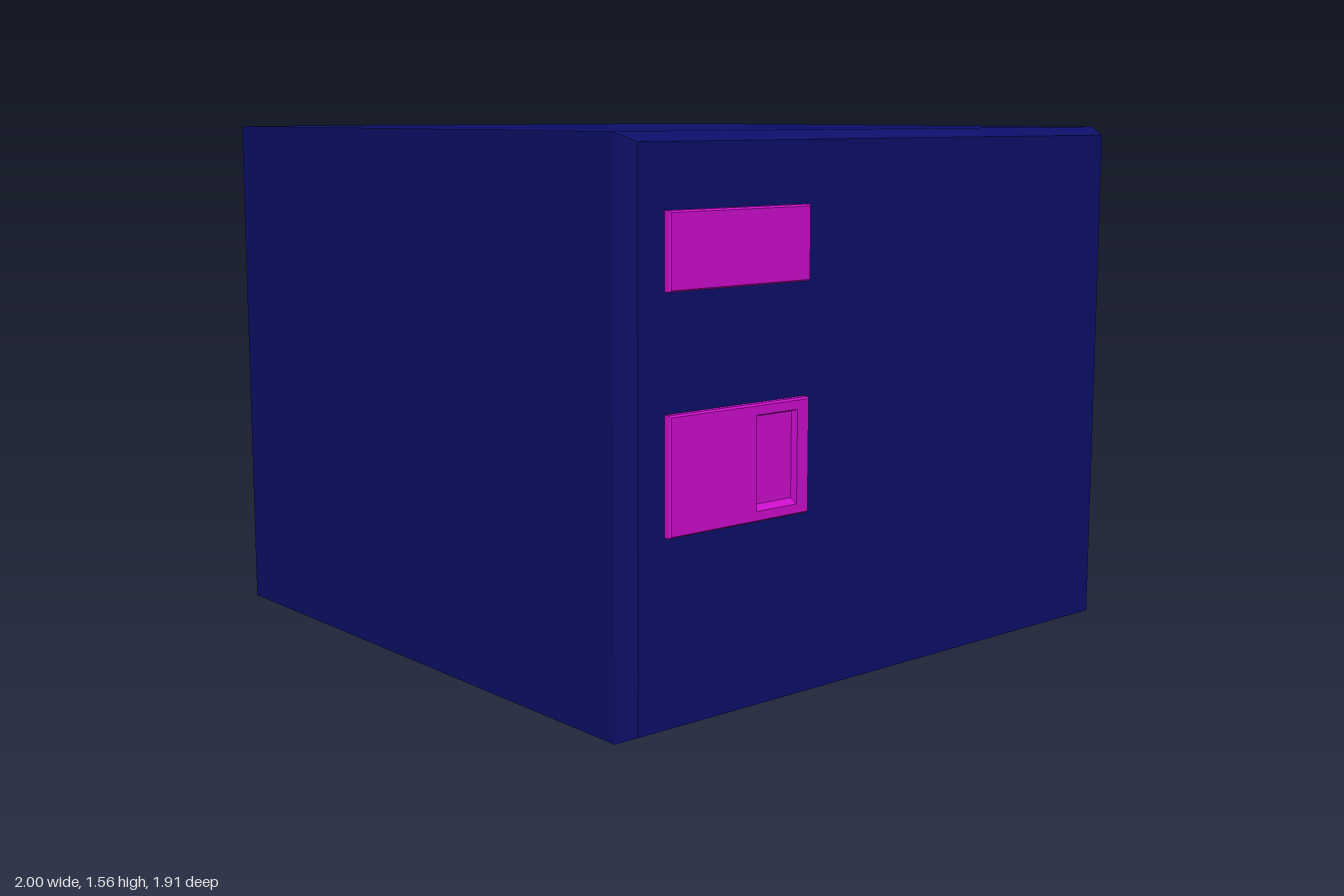
import * as THREE from 'three';

const navy = new THREE.MeshStandardMaterial({ color: 0x0b0f68 });
const magenta = new THREE.MeshStandardMaterial({ color: 0xcc0ccc });

// Skins a closed solid over rectangular rings [x, y0, y1, z0, z1] and caps both ends.
function loft(name, material, rings) {
  const corners = rings.map(([x, y0, y1, z0, z1]) =>
    [[x, y0, z1], [x, y0, z0], [x, y1, z0], [x, y1, z1]]);
  const points = [];
  const quad = (a, b, c, d) => points.push(...a, ...b, ...c, ...a, ...c, ...d);
  for (let r = 0; r < corners.length - 1; r++) {
    const a = corners[r], b = corners[r + 1];
    for (let i = 0; i < 4; i++) {
      const j = (i + 1) % 4;
      quad(a[i], a[j], b[j], b[i]);
    }
  }
  quad(...[...corners[0]].reverse());
  quad(...corners[corners.length - 1]);
  const geometry = new THREE.BufferGeometry();
  geometry.setAttribute('position', new THREE.Float32BufferAttribute(points, 3));
  geometry.computeVertexNormals();
  const mesh = new THREE.Mesh(geometry, material);
  mesh.name = name;
  return mesh;
}

export function createModel() {
  const model = new THREE.Group();
  model.name = 'cabinet';

  // Case with one chamfered face
  model.add(loft('case', navy, [
    [-1, 0, 1.56, -0.957, 0.957],
    [0.917, 0, 1.56, -0.957, 0.957],
    [0.977, 0.027, 1.535, -0.928, 0.928],
  ]));

  // Plain upper panel
  model.add(loft('upperPanel', magenta, [
    [0.97, 1.162, 1.366, 0.35, 0.84],
    [0.993, 1.162, 1.366, 0.35, 0.84],
    [1, 1.167, 1.361, 0.354, 0.836],
  ]));

  // Lower panel, its last rings folding inward into a recess with a sloped sill
  model.add(loft('lowerPanel', magenta, [
    [0.97, 0.535, 0.852, 0.35, 0.84],
    [0.993, 0.535, 0.852, 0.35, 0.84],
    [1, 0.54, 0.847, 0.354, 0.836],
    [1, 0.565, 0.822, 0.395, 0.542],
    [0.982, 0.58, 0.816, 0.4, 0.537],
  ]));

  return model;
}
